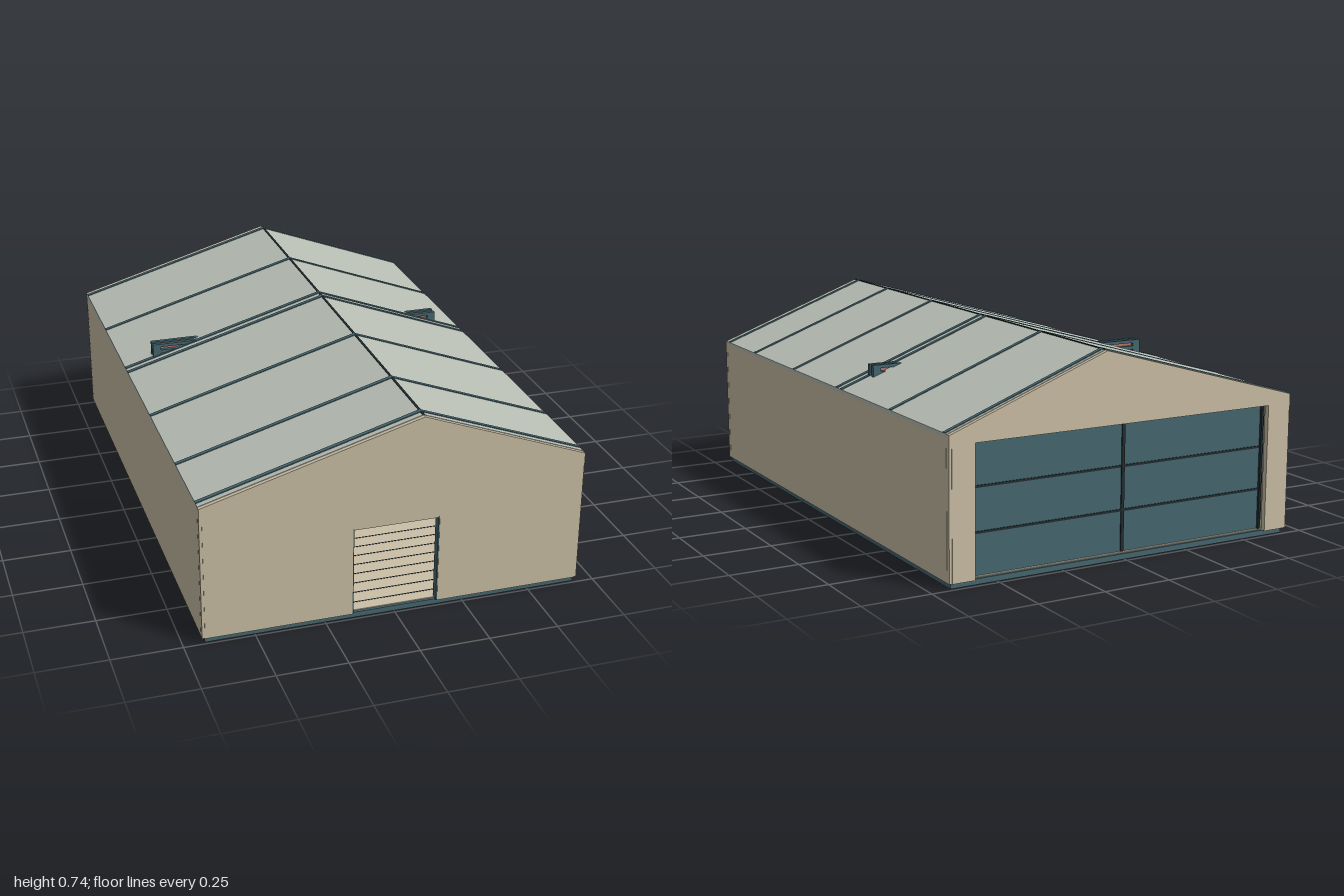
import * as THREE from 'three';

const paint = (name, hex) => {
  const m = new THREE.MeshStandardMaterial({ color: hex });
  m.name = name;
  return m;
};

export function createModel() {
  const model = new THREE.Group();
  model.name = 'warehouse';

  const beige = paint('beige cladding', 0xcbbfa6);
  const grey = paint('pale roof grey', 0xb9bfb5);
  const teal = paint('teal steel', 0x466770);
  const red = paint('red panel', 0xbc7466);
  const dark = paint('dark seam', 0x222c30);

  // Box given by its lower and upper corners
  const box = (name, mat, x0, x1, y0, y1, z0, z1, parent = model) => {
    const mesh = new THREE.Mesh(new THREE.BoxGeometry(x1 - x0, y1 - y0, z1 - z0), mat);
    mesh.position.set((x0 + x1) / 2, (y0 + y1) / 2, (z0 + z1) / 2);
    mesh.name = name;
    parent.add(mesh);
    return mesh;
  };

  // Outline in x and y, extruded from z0 to z1
  const slab = (name, mat, points, z0, z1) => {
    const shape = new THREE.Shape(points.map(([x, y]) => new THREE.Vector2(x, y)));
    const mesh = new THREE.Mesh(new THREE.ExtrudeGeometry(shape, { depth: z1 - z0, bevelEnabled: false }), mat);
    mesh.position.z = z0;
    mesh.name = name;
    model.add(mesh);
  };

  const W = 0.685, EAVE = 0.514, RIDGE = 0.736, RX = 0.09, FLOOR = 0.02;

  // Band that follows both roof slopes
  const roofBand = (name, mat, z0, z1, low, high) => slab(name, mat, [
    [-W, EAVE + low], [RX, RIDGE + low], [W, EAVE + low],
    [W, EAVE + high], [RX, RIDGE + high], [-W, EAVE + high],
  ], z0, z1);

  // Foundation and floor planks
  box('foundation', teal, -0.675, 0.675, 0, FLOOR, -0.985, 0.99);
  box('floor', beige, -0.672, 0.672, FLOOR, FLOOR + 0.003, -0.975, 0.98);
  for (let z = -0.09; z < 0.97; z += 0.06)
    box('floorSeam', dark, -0.67, 0.67, FLOOR + 0.003, FLOOR + 0.004, z, z + 0.004);

  // Long side walls
  for (const s of [-1, 1]) {
    const xs = [s * 0.672, s * W].sort((a, b) => a - b);
    box('sideWall', beige, xs[0], xs[1], FLOOR, EAVE, -0.98, 0.98);
  }

  // Gable walls, each with a doorway cut up from the floor
  const gable = (name, half, top, z0, z1) => slab(name, beige, [
    [-0.675, FLOOR], [-half, FLOOR], [-half, top], [half, top], [half, FLOOR], [0.675, FLOOR],
    [0.675, 0.47], [W, 0.47], [W, EAVE], [RX, RIDGE], [-W, EAVE], [-W, 0.47], [-0.675, 0.47],
  ], z0, z1);
  gable('frontGable', 0.155, 0.355, 0.98, 1);
  gable('backGable', 0.59, 0.48, -1, -0.98);
  for (const s of [-1, 1]) for (const z of [-0.99, 0.99])
    box('cornerPost', beige, s * 0.68 - 0.005, s * 0.68 + 0.005, FLOOR, 0.47, z - 0.008, z + 0.008);

  // Roof sheets, seam strips and ridge line
  roofBand('roof', grey, -0.985, 0.985, -0.012, 0.002);
  for (const z of [-0.965, -0.57, -0.17, -0.13, 0.27, 0.67, 0.955])
    roofBand('roofSeam', teal, z - 0.008, z + 0.008, 0.001, 0.005);
  slab('ridgeLine', dark, [
    [RX - 0.004, RIDGE], [RX + 0.004, RIDGE], [RX + 0.004, RIDGE + 0.003], [RX, RIDGE + 0.004], [RX - 0.004, RIDGE + 0.003],
  ], -0.985, 0.985);

  // Front doorway frame
  for (const s of [-1, 1])
    box('frontJamb', teal, s * 0.1535 - 0.0025, s * 0.1535 + 0.0025, FLOOR, 0.355, 0.97, 0.998);
  box('frontLintel', beige, -0.155, 0.155, 0.347, 0.355, 0.97, 0.998);

  // Back sectional gate with dark seams
  const gate = new THREE.Group();
  gate.name = 'backGate';
  model.add(gate);
  box('gatePanel', teal, -0.6, 0.6, FLOOR, 0.49, -0.965, -0.95, gate);
  for (const y of [0.17, 0.325])
    box('gateSeam', dark, -0.59, 0.59, y - 0.004, y + 0.004, -0.968, -0.964, gate);
  box('gateMiddle', dark, -0.006, 0.006, FLOOR, 0.48, -0.969, -0.964, gate);
  for (const s of [-1, 1])
    box('gateJamb', dark, s * 0.585 - 0.004, s * 0.585 + 0.004, FLOOR, 0.48, -0.975, -0.964, gate);

  // Inner partition whose upper corners rise through the roof
  const wall = new THREE.Group();
  wall.name = 'innerPartition';
  model.add(wall);
  box('partitionPanel', red, -0.57, 0.57, FLOOR, 0.595, -0.194, -0.182, wall);
  for (const [z0, z1] of [[-0.21, -0.196], [-0.18, -0.166]]) {
    for (const y of [0.023, 0.158, 0.293, 0.428, 0.563])
      box('partitionRail', teal, -0.57, 0.57, y, y + 0.013, z0, z1, wall);
    box('topRail', teal, -0.575, 0.575, 0.588, 0.6, z0, z1, wall);
    for (const x of [-0.56, 0, 0.56])
      box('partitionPost', teal, x - (x ? 0.015 : 0.03), x + (x ? 0.015 : 0.03), FLOOR, 0.59, z0, z1, wall);
  }

  // Lock plate and latch in the middle of the partition
  const lock = new THREE.Group();
  lock.name = 'lock';
  lock.position.z = -0.166;
  model.add(lock);
  box('lockPlate', teal, -0.065, 0.065, 0.17, 0.312, 0, 0.01, lock);
  box('lockBody', red, -0.026, 0.026, 0.196, 0.246, 0.01, 0.018, lock);
  box('keyhole', teal, -0.004, 0.004, 0.208, 0.23, 0.018, 0.021, lock);
  box('shackleTop', beige, -0.026, 0.026, 0.264, 0.277, 0.01, 0.018, lock);
  for (const s of [-1, 1]) {
    box('shackleSide', beige, s * 0.02 - 0.006, s * 0.02 + 0.006, 0.246, 0.264, 0.01, 0.018, lock);
    box('latchBlock', beige, s * 0.031 - 0.01, s * 0.031 + 0.01, 0.067, 0.105, 0, 0.01, lock);
  }
  box('latchBolt', beige, -0.014, 0.014, 0.106, 0.142, 0, 0.01, lock);
  box('latchFoot', beige, -0.02, 0.02, FLOOR, 0.065, 0, 0.012, lock);

  // Low bench inside the front doorway
  box('benchBody', red, -0.58, -0.39, FLOOR, 0.05, 0.4, 0.57);
  box('benchRim', dark, -0.59, -0.38, 0.05, 0.065, 0.39, 0.58);
  box('benchTop', grey, -0.585, -0.385, 0.065, 0.07, 0.395, 0.575);

  return model;
}
